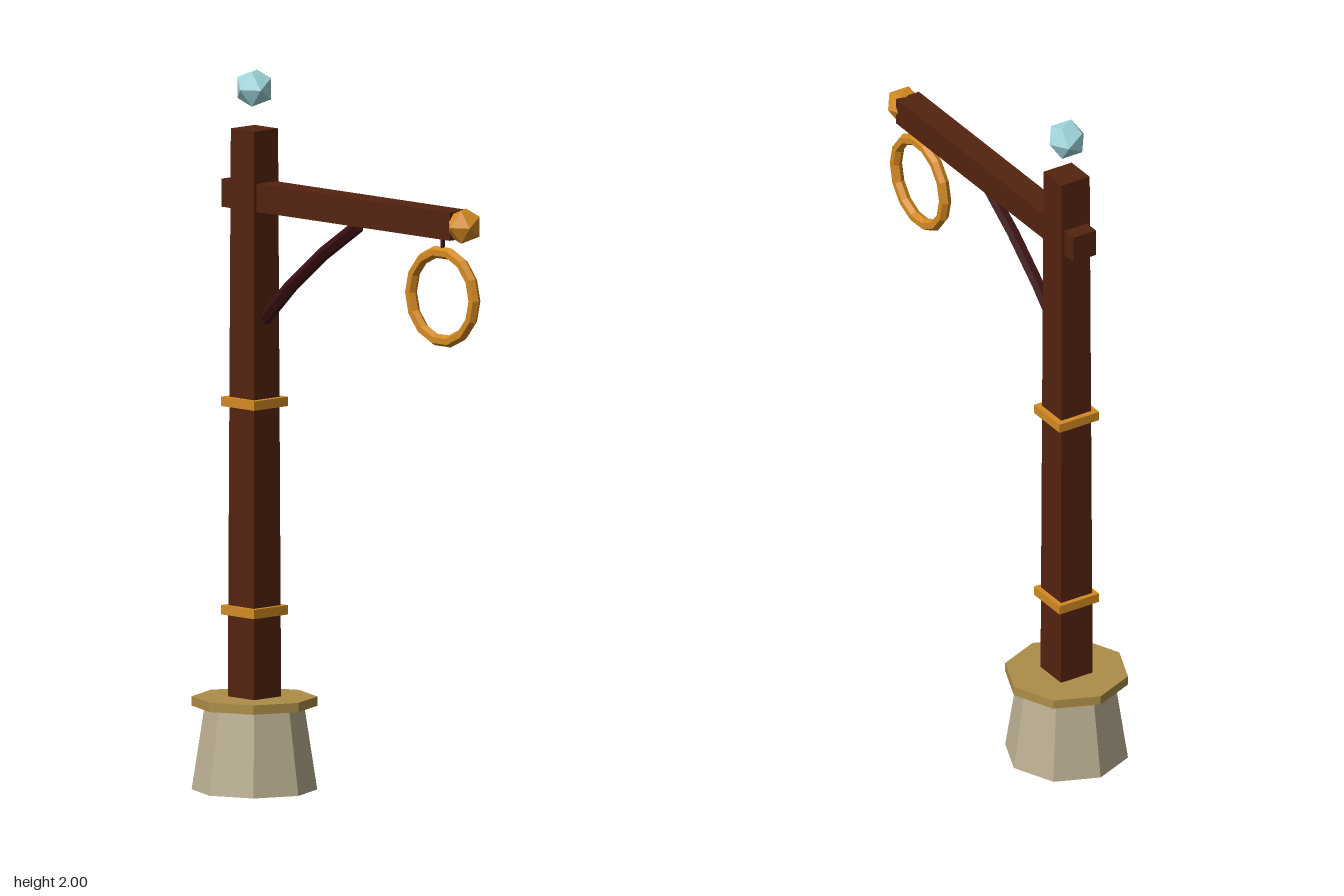
import * as THREE from 'three';

const material = (name, color, flatShading = true) => {
  const m = new THREE.MeshStandardMaterial({ color, flatShading });
  m.name = name;
  return m;
};

export function createModel() {
  const wood = material('wood', 0x54230f);
  const darkWood = material('dark wood', 0x3a0f12);
  const brass = material('brass', 0xd38a22);
  const stone = material('stone', 0xbdb193);
  const trim = material('stone trim', 0xae8e49);
  const crystal = material('crystal', 0xa0d6da);

  const POST_X = -0.36;
  const BEAM_Y = 1.655;
  const group = new THREE.Group();
  group.name = 'hangingRingPost';

  const add = (name, geometry, mat, x, y, z = 0) => {
    const mesh = new THREE.Mesh(geometry, mat);
    mesh.name = name;
    mesh.position.set(x, y, z);
    group.add(mesh);
    return mesh;
  };

  // Icosahedron turned so its poles point along z
  const gem = (radius) => new THREE.IcosahedronGeometry(radius, 0)
    .rotateX(Math.atan(2 / (1 + Math.sqrt(5))))
    .rotateZ(Math.PI / 2);

  // Octagonal footing with an overhanging cap
  add('footing', new THREE.CylinderGeometry(0.137, 0.173, 0.235, 8), stone, POST_X, 0.1175);
  add('footingCap', new THREE.CylinderGeometry(0.173, 0.173, 0.026, 8), trim, POST_X, 0.246);

  // Square post with a slight taper
  const post = new THREE.CylinderGeometry(0.046 * Math.SQRT2, 0.052 * Math.SQRT2, 1.6, 4)
    .rotateY(Math.PI / 4);
  add('post', post, wood, POST_X, 1.04);

  // Brass bands around the post
  for (const y of [0.5, 1.08]) {
    add('band', new THREE.BoxGeometry(0.13, 0.026, 0.13), brass, POST_X, y);
  }

  // Floating crystal above the post
  add('crystal', gem(0.056), crystal, POST_X, 1.952);

  // Cross beam and its end knob
  add('beam', new THREE.BoxGeometry(0.9, 0.078, 0.074), wood, -0.002, BEAM_Y);
  add('beamKnob', gem(0.053), brass, 0.465, BEAM_Y);

  // Curved brace with closed ends
  const curve = new THREE.QuadraticBezierCurve3(
    new THREE.Vector3(-0.335, 1.3, 0),
    new THREE.Vector3(-0.16, 1.485, 0),
    new THREE.Vector3(0.05, 1.612, 0));
  add('brace', new THREE.TubeGeometry(curve, 3, 0.019, 6), darkWood, 0, 0);
  for (const t of [0, 1]) {
    const end = curve.getPoint(t);
    const outward = curve.getTangent(t).multiplyScalar(t ? 1 : -1);
    const cap = add('braceEnd', new THREE.CircleGeometry(0.019, 6), darkWood, end.x, end.y);
    cap.lookAt(end.clone().add(outward));
  }

  // Hanging ring and its short link
  add('ringLink', new THREE.CylinderGeometry(0.006, 0.006, 0.05, 6), darkWood, 0.382, 1.6);
  add('ring', new THREE.TorusGeometry(0.125, 0.017, 6, 14), brass, 0.382, 1.45);

  return group;
}
